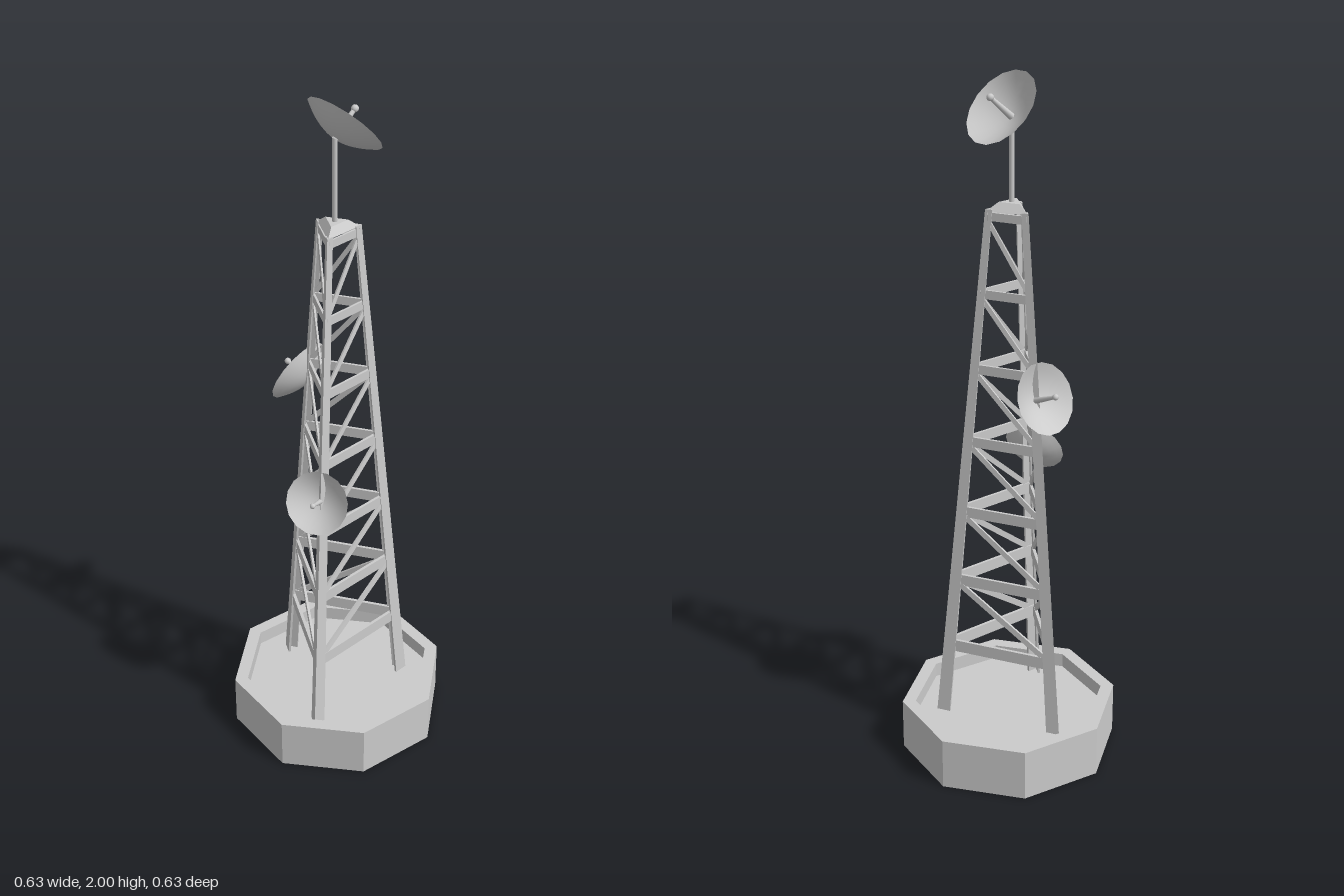
import * as THREE from 'three';

const CX = -0.01, CZ = 0.016;            // tower axis
const FLOOR = 0.11, TOP = 1.64;          // leg foot and head heights
const V = (x, y, z) => new THREE.Vector3(x, y, z);
const flat = new THREE.MeshStandardMaterial({ color: 0xcccccc, flatShading: true, side: THREE.DoubleSide });
const smooth = new THREE.MeshStandardMaterial({ color: 0xcccccc, side: THREE.DoubleSide });

// 0 at the foot, 1 at the head
const rise = (y) => (y - FLOOR) / (TOP - FLOOR);
const legRadius = (y) => THREE.MathUtils.lerp(0.222, 0.071, rise(y));
const corner = (k, y) => {
  const a = (k * Math.PI * 2) / 3, r = legRadius(y);
  return V(r * Math.cos(a), y, r * Math.sin(a));
};

function add(parent, name, geometry, material = flat) {
  const mesh = new THREE.Mesh(geometry, material);
  mesh.name = name;
  parent.add(mesh);
  return mesh;
}

// Angle-section leg, tapering and leaning inwards
function legGeometry() {
  const c = Math.cos(Math.PI / 6), w = 0.04, t = 0.007;
  const shape = new THREE.Shape([
    [0, 0], [-c * w, w / 2], [-c * w - t / 2, w / 2 - c * t],
    [-2 * t, 0], [-c * w - t / 2, -w / 2 + c * t], [-c * w, -w / 2],
  ].map(([x, y]) => new THREE.Vector2(x, y)));
  const geo = new THREE.ExtrudeGeometry(shape, { depth: TOP - FLOOR, bevelEnabled: false });
  geo.rotateX(-Math.PI / 2).translate(0, FLOOR, 0);
  const p = geo.attributes.position;
  for (let i = 0; i < p.count; i++) {
    const y = p.getY(i), s = THREE.MathUtils.lerp(1, 0.5, rise(y));
    p.setXYZ(i, legRadius(y) + p.getX(i) * s, y, p.getZ(i) * s);
  }
  geo.computeVertexNormals();
  return geo;
}

// Flat bar from a to b with its broad side facing outwards
function bar(parent, name, a, b, height, depth) {
  const x = b.clone().sub(a), length = x.length();
  x.normalize();
  const mid = a.clone().add(b).multiplyScalar(0.5);
  const z = V(mid.x, 0, mid.z).normalize();
  z.addScaledVector(x, -z.dot(x)).normalize();
  const mesh = add(parent, name, new THREE.BoxGeometry(length, height, depth));
  mesh.quaternion.setFromRotationMatrix(new THREE.Matrix4().makeBasis(x, z.clone().cross(x), z));
  mesh.position.copy(mid).addScaledVector(z, -depth / 2 - 0.002);
}

// Parabolic dish with feed arm; rim centre at position, facing along normal
function dish(parent, name, position, normal, r) {
  const group = new THREE.Group();
  group.name = name;
  const depth = r * 0.41;
  const profile = [];
  for (let i = 0; i <= 6; i++) {
    const t = i / 6;
    profile.push(new THREE.Vector2(Math.max(r * t, 1e-4), depth * (Math.pow(t, 1.8) - 1)));
  }
  add(group, 'bowl', new THREE.LatheGeometry(profile, 16), smooth);
  const length = r * 0.82;
  add(group, 'feedArm', new THREE.CylinderGeometry(r * 0.05, r * 0.085, length, 10), smooth)
    .position.y = length / 2 - depth;
  add(group, 'feedHorn', new THREE.SphereGeometry(r * 0.09, 12, 8), smooth)
    .position.y = length - depth;
  group.position.copy(position);
  group.quaternion.setFromUnitVectors(V(0, 1, 0), normal.normalize());
  parent.add(group);
}

export function createModel() {
  const model = new THREE.Group();
  model.name = 'antennaTower';

  // Octagonal footing, recessed on top and hollow below
  add(model, 'base', new THREE.LatheGeometry(
    [[0.316, 0], [0.316, 0.153], [0.277, 0.153], [0.277, FLOOR], [0.0001, FLOOR]]
      .map(([x, y]) => new THREE.Vector2(x, y)), 8));

  const tower = new THREE.Group();
  tower.name = 'tower';
  tower.position.set(CX, 0, CZ);
  model.add(tower);

  // Three legs
  const leg = legGeometry();
  for (let k = 0; k < 3; k++) add(tower, 'leg', leg).rotation.y = (-k * Math.PI * 2) / 3;

  // Crossbeams at seven levels, one diagonal per bay on each face
  const faces = [[1, 0], [1, 2], [2, 0]];
  const level = (i) => 0.33 + i * 0.215;
  for (let i = 0; i < 7; i++) {
    const y = level(i), s = 1 - 0.06 * i;
    for (const [low, high] of faces) {
      const a = corner(low, y), b = corner(high, y);
      bar(tower, 'crossbeam', a.clone().lerp(b, 0.03), b.clone().lerp(a, 0.03), 0.036 * s, 0.009 * s);
      if (i === 6) continue;
      const y0 = y + 0.018, y1 = level(i + 1) - 0.015;
      bar(tower, 'diagonalBrace',
        corner(low, y0).lerp(corner(high, y0), 0.1),
        corner(high, y1).lerp(corner(low, y1), 0.1), 0.017 * s, 0.007 * s);
    }
  }

  // Cap and mast
  const cap = add(tower, 'cap', new THREE.CylinderGeometry(0.035, 0.066, 0.022, 3));
  cap.rotation.y = Math.PI / 2;
  cap.position.y = 1.647;
  add(tower, 'mast', new THREE.CylinderGeometry(0.007, 0.007, 0.25, 10), smooth).position.y = 1.765;

  // Dishes
  dish(model, 'topDish', V(0.021, 1.915, -0.004), V(0.655, 0.655, -0.38), 0.112);
  dish(model, 'upperDish', V(-0.083, 1.143, -0.113), V(-0.54, 0.4, -0.74), 0.1);
  dish(model, 'lowerDish', V(-0.098, 0.882, 0.16), V(-0.5, 0.4, 0.77), 0.089);

  return model;
}
